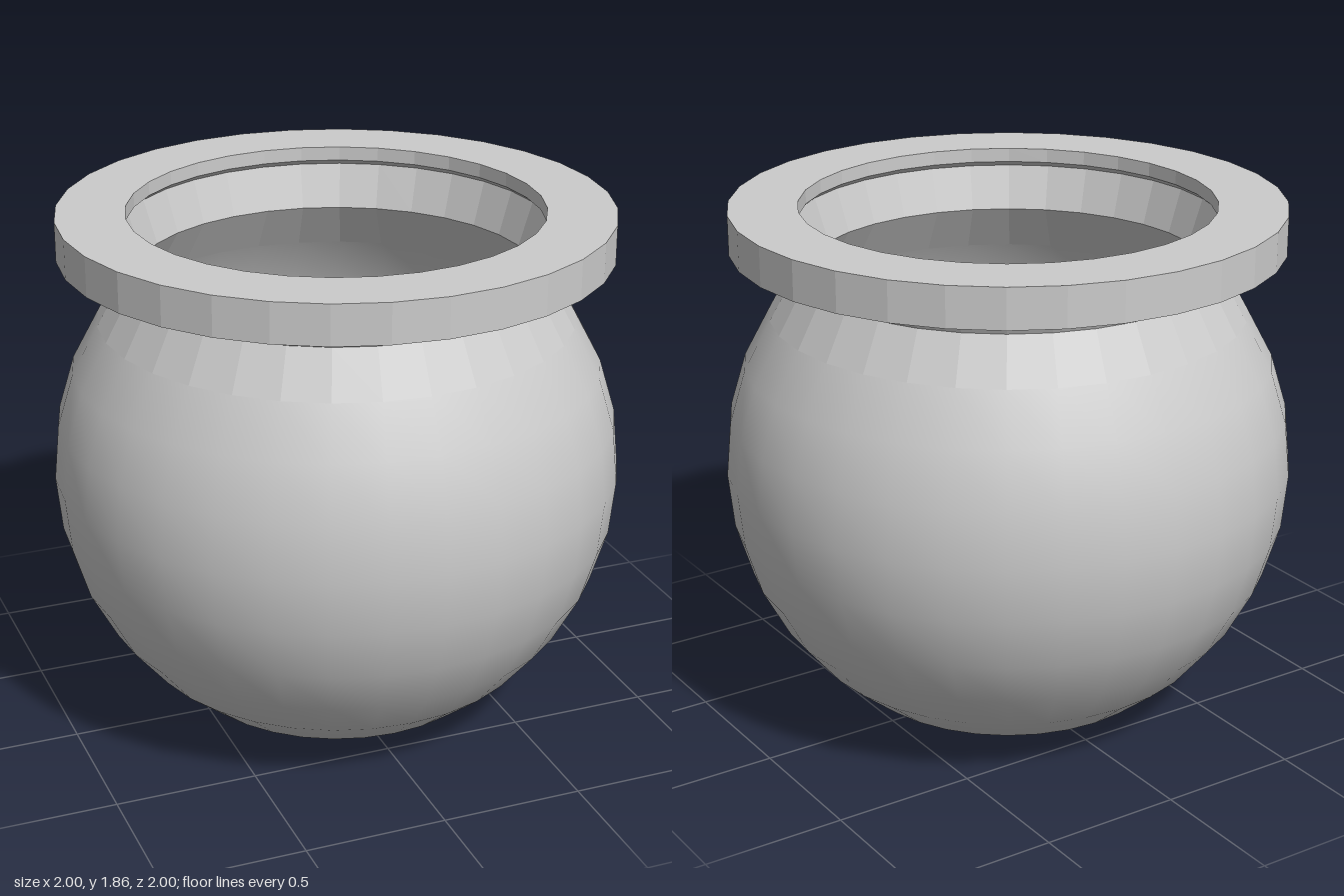
import * as THREE from 'three';

const smooth = new THREE.MeshStandardMaterial({ color: 0xcccccc, side: THREE.DoubleSide });
const flat = new THREE.MeshStandardMaterial({ color: 0xcccccc, flatShading: true, side: THREE.DoubleSide });
const SIDES = 32;
const CENTER = 0.924;

// Turned part from [radius, height] pairs
function turned(name, pairs, material) {
  const points = pairs.map(([r, y]) => new THREE.Vector2(r, y));
  const mesh = new THREE.Mesh(new THREE.LatheGeometry(points, SIDES), material);
  mesh.name = name;
  return mesh;
}

// Latitude points of a sphere, from the foot up to the shoulder
function sphereProfile(radius) {
  const pairs = [];
  for (let i = -6; i <= 3; i++) {
    const a = (i * Math.PI) / 16;
    pairs.push([radius * Math.cos(a), CENTER + radius * Math.sin(a)]);
  }
  return pairs;
}

// Skin over rings along x: [x, half height, half width, sweep of the sides]
function loft(name, rings, sides) {
  const pos = [], index = [];
  rings.forEach(([x, ry, rz, sweep = 0], i) => {
    for (let j = 0; j < sides; j++) {
      const a = (j / sides) * Math.PI * 2;
      const s = Math.sin(a);
      pos.push(x + sweep * s * s, ry * Math.cos(a), rz * s);
      if (i === rings.length - 1) continue;
      const p = i * sides + j, q = i * sides + ((j + 1) % sides);
      index.push(p, q, p + sides, q, q + sides, p + sides);
    }
  });
  const geometry = new THREE.BufferGeometry();
  geometry.setAttribute('position', new THREE.Float32BufferAttribute(pos, 3));
  geometry.setIndex(index);
  geometry.computeVertexNormals();
  const mesh = new THREE.Mesh(geometry, flat);
  mesh.name = name;
  return mesh;
}

function createBowl() {
  const bowl = new THREE.Group();
  bowl.name = 'bowl';
  const outer = sphereProfile(1);
  const inner = sphereProfile(0.975);
  const foot = outer[0], floor = inner[0];
  const shoulder = outer[outer.length - 1];
  const innerShoulder = [0.8, inner[inner.length - 1][1]];
  inner[inner.length - 1] = innerShoulder;

  bowl.add(
    turned('outerWall', outer, smooth),
    turned('innerWall', inner.slice().reverse(), smooth),
    turned('base', [[0, foot[1]], foot], flat),
    turned('floor', [floor, [0, floor[1]]], flat),
    // faceted shoulder and flared neck
    turned('neck', [shoulder, [0.745, 1.635], [0.785, 1.72]], flat),
    turned('innerNeck', [[0.745, 1.79], [0.695, 1.635], innerShoulder], flat),
    // broad flat rim, undercut at the mouth
    turned('rim', [[0.785, 1.72], [0.96, 1.72], [0.96, 1.86], [0.72, 1.86],
      [0.72, 1.81], [0.745, 1.79]], flat),
  );
  return bowl;
}

function createFish() {
  const fish = new THREE.Group();
  fish.name = 'fish';
  // rounded head, tucked under the swept gill edge
  const head = loft('head', [
    [-0.6, 0, 0], [-0.6, 0.06, 0.06], [-0.56, 0.11, 0.1], [-0.48, 0.17, 0.14],
    [-0.37, 0.22, 0.155], [-0.2, 0.23, 0.16],
  ], 10);
  const body = loft('body', [
    [-0.37, 0.215, 0.15, 0.2], [-0.36, 0.24, 0.172, 0.2], [-0.14, 0.26, 0.172, 0.03],
    [0.02, 0.21, 0.145], [0.14, 0.14, 0.11], [0.24, 0.08, 0.08], [0.24, 0, 0],
  ], 10);
  // forked tail, thinning to an edge
  const tail = loft('tailFin', [
    [0.23, 0, 0], [0.23, 0.07, 0.075], [0.32, 0.13, 0.1], [0.44, 0.21, 0.055],
    [0.66, 0.28, 0.006, -0.08], [0.55, 0, 0],
  ], 8);
  const dorsal = loft('dorsalFin', [
    [-0.27, 0, 0], [-0.27, 0.06, 0.042], [-0.18, 0.13, 0.036],
    [0.03, 0.1, 0.022], [0.03, 0, 0],
  ], 4);
  dorsal.position.y = 0.23;
  fish.add(head, body, tail, dorsal);
  fish.position.set(0, 0.9, 0.01);
  return fish;
}

export function createModel() {
  const model = new THREE.Group();
  model.name = 'fishBowl';
  model.add(createBowl(), createFish());
  return model;
}
